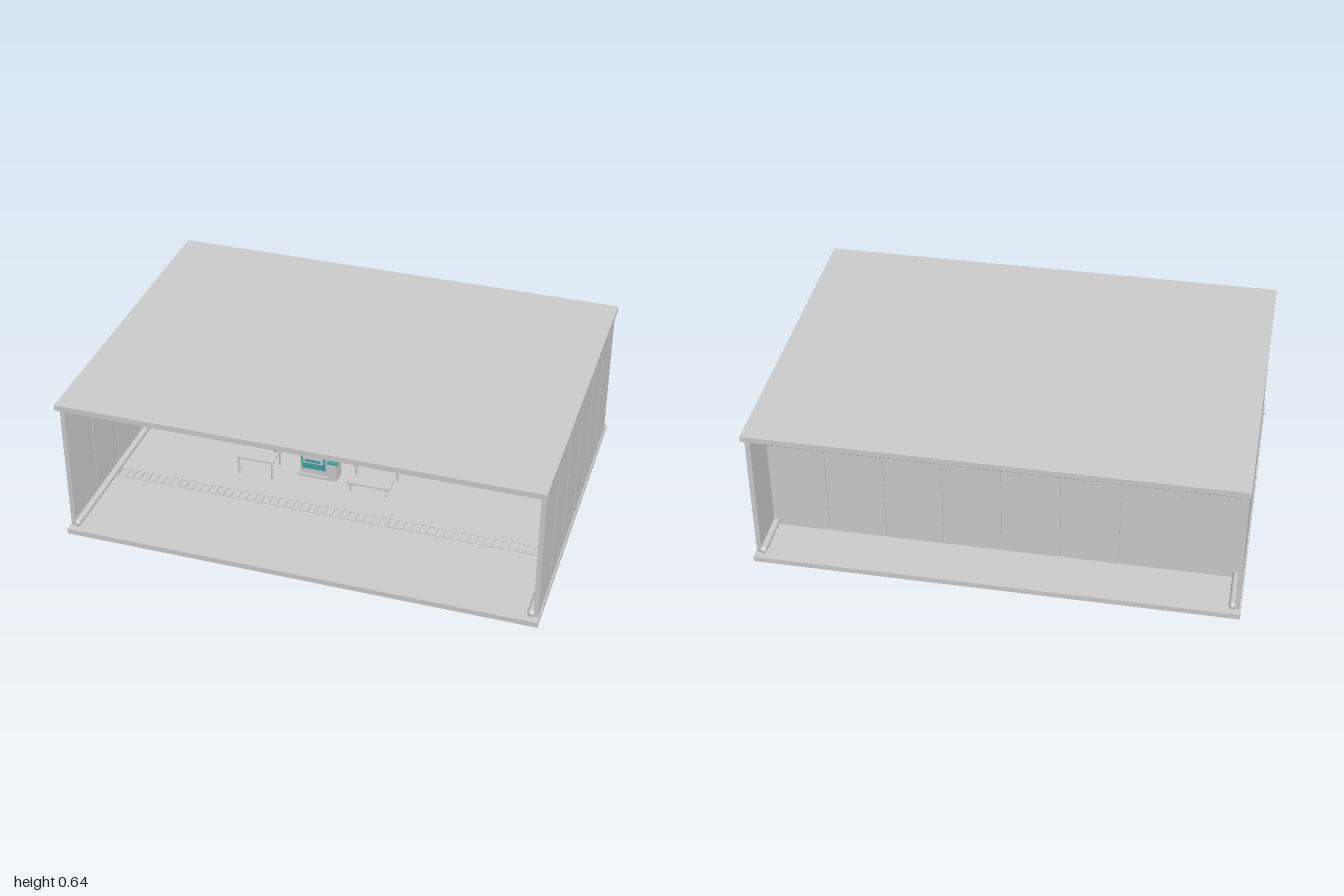
import * as THREE from 'three';
import { RoundedBoxGeometry } from 'three/addons/geometries/RoundedBoxGeometry.js';

const grey = new THREE.MeshStandardMaterial({ color: 0xcccccc });
const teal = new THREE.MeshStandardMaterial({ color: 0x3fa0a8 });

function add(parent, name, geometry, x, y, z, material = grey) {
  const mesh = new THREE.Mesh(geometry, material);
  mesh.name = name;
  mesh.position.set(x, y, z);
  parent.add(mesh);
  return mesh;
}

// Box given by its limits on each axis
function box(parent, name, x0, x1, y0, y1, z0, z1, material) {
  return add(parent, name, new THREE.BoxGeometry(x1 - x0, y1 - y0, z1 - z0),
    (x0 + x1) / 2, (y0 + y1) / 2, (z0 + z1) / 2, material);
}

// Round bar centred on a point, lying along the chosen axis
function bar(parent, name, axis, r, length, x, y, z, material) {
  const g = new THREE.CylinderGeometry(r, r, length, 16);
  if (axis === 'x') g.rotateZ(Math.PI / 2);
  if (axis === 'z') g.rotateX(Math.PI / 2);
  return add(parent, name, g, x, y, z, material);
}

function group(parent, name) {
  const g = new THREE.Group();
  g.name = name;
  parent.add(g);
  return g;
}

const FLOOR = 0.024, WALL_TOP = 0.6;

// Wall along local x: separate panels with recessed joints
function panelWall(parent, name, length, count, thickness) {
  const wall = group(parent, name);
  const step = length / count, gap = 0.007, t = thickness / 2;
  for (let i = 0; i < count; i++) {
    const a = -length / 2 + i * step;
    box(wall, 'wallPanel', a + (i ? gap / 2 : 0), a + step - (i < count - 1 ? gap / 2 : 0),
      FLOOR, WALL_TOP, -t, t);
    if (i) box(wall, 'panelJoint', a - gap / 2, a + gap / 2, FLOOR, WALL_TOP, -t * 0.5, t * 0.5);
  }
  return wall;
}

function shell(root) {
  box(root, 'floor', -1, 1, 0, FLOOR, -0.72, 0.72);
  box(root, 'roof', -1, 1, 0.618, 0.642, -0.72, 0.72);
  for (const s of [-1, 1]) {
    const wall = panelWall(root, s > 0 ? 'leftWall' : 'rightWall', 1.376, 6, 0.02);
    wall.rotation.y = Math.PI / 2;
    wall.position.x = s * 0.984;
    // Rounded wheel guard along the foot of the side wall
    const guard = new THREE.CapsuleGeometry(0.016, 1.37, 6, 14).rotateX(Math.PI / 2);
    add(root, 'sideGuard', guard, s * 0.966, 0.041, 0);
  }
  panelWall(root, 'rearPartition', 1.95, 8, 0.018).position.z = -0.49;
  box(root, 'skirting', -0.95, 0.95, FLOOR, 0.06, -0.482, -0.465);

  // Drain gratings: two side rails with cross slats
  for (const z of [0.28, -0.26]) {
    const grate = group(root, 'floorGrating');
    for (const s of [-1, 1])
      box(grate, 'gratingRail', -0.965, 0.965, FLOOR, 0.028, z + s * 0.027 - 0.003, z + s * 0.027 + 0.003);
    for (let i = 0; i < 56; i++) {
      const x = -0.955 + i * 1.91 / 55;
      box(grate, 'gratingSlat', x - 0.006, x + 0.006, FLOOR, 0.031, z - 0.025, z + 0.025);
    }
  }

  // Rail under the rear edge of the roof with short cross arms
  bar(root, 'rearRail', 'x', 0.006, 1.94, 0, 0.594, -0.683);
  for (let i = -4; i <= 4; i++) {
    const x = i * 0.242;
    box(root, 'railArm', x - 0.006, x + 0.006, 0.594, 0.604, -0.69, -0.6);
  }

  // Overhead duct on hangers
  bar(root, 'overheadDuct', 'x', 0.031, 1.94, 0, 0.528, -0.42);
  for (const x of [-0.71, -0.18, 0.35, 0.82])
    box(root, 'ductHanger', x - 0.003, x + 0.003, 0.55, 0.618, -0.423, -0.417);
}

function washTable(root) {
  const t = group(root, 'washTable');
  const x0 = -0.465, x1 = -0.295, z0 = 0.01, z1 = 0.14;
  box(t, 'tableTop', x0, x1, 0.108, 0.116, z0, z1);
  box(t, 'basin', -0.43, -0.33, 0.094, 0.108, 0.035, 0.115);
  for (const x of [x0 + 0.01, x1 - 0.01])
    for (const z of [z0 + 0.012, z1 - 0.012])
      bar(t, 'tableLeg', 'y', 0.004, 0.084, x, 0.066, z);
  box(t, 'tableBrace', x0 + 0.01, x1 - 0.01, 0.07, 0.075, z0 + 0.01, z0 + 0.015);
  // Tap with a bent spout
  const tap = new THREE.CatmullRomCurve3([
    [0, 0.116, 0.022], [0, 0.165, 0.022], [0, 0.18, 0.035], [0, 0.172, 0.055], [0, 0.16, 0.058],
  ].map(([x, y, z]) => new THREE.Vector3(x, y, z)));
  add(t, 'tap', new THREE.TubeGeometry(tap, 24, 0.005, 10), -0.38, 0, 0);
  bar(t, 'bottle', 'y', 0.007, 0.026, -0.314, 0.129, 0.05, teal);
  bar(t, 'bottleCap', 'y', 0.004, 0.01, -0.314, 0.147, 0.05);
}

function dispenser(root) {
  const m = group(root, 'dispenser');
  box(m, 'plinth', -0.206, -0.068, FLOOR, 0.036, -0.05, 0.07);
  box(m, 'cabinet', -0.199, -0.075, 0.036, 0.253, -0.04, 0.06);
  box(m, 'frontPanel', -0.19, -0.084, 0.065, 0.242, 0.06, 0.064, teal);
  box(m, 'display', -0.178, -0.097, 0.182, 0.232, 0.064, 0.068);
  box(m, 'tray', -0.182, -0.092, 0.1, 0.13, 0.064, 0.072);
  box(m, 'traySlot', -0.172, -0.102, 0.107, 0.119, 0.072, 0.074, teal);
  for (let i = 0; i < 3; i++)
    bar(m, 'button', 'z', 0.005, 0.006, -0.16 + i * 0.022, 0.155, 0.066);
  // Bin beside the cabinet
  const b = group(root, 'bin');
  box(b, 'binBody', -0.07, -0.03, FLOOR, 0.112, 0.01, 0.07);
  box(b, 'binLid', -0.073, -0.027, 0.112, 0.12, 0.007, 0.073, teal);
}

function dryingRack(root) {
  const r = group(root, 'hangingRack');
  const z = -0.015;
  for (const x of [0.032, 0.218])
    box(r, 'rackPost', x - 0.004, x + 0.004, FLOOR, 0.196, z - 0.004, z + 0.004);
  box(r, 'rackTop', 0.02, 0.228, 0.193, 0.201, z - 0.012, z + 0.012);
  box(r, 'rackLowerBar', 0.032, 0.218, 0.074, 0.079, z - 0.003, z + 0.003);
  for (let i = 0; i < 3; i++) {
    const x = 0.066 + i * 0.059;
    add(r, 'hangingBag', new RoundedBoxGeometry(0.042, 0.094, 0.014, 4, 0.0065), x, 0.13, z);
    bar(r, 'bagHook', 'y', 0.003, 0.022, x, 0.185, z);
    add(r, 'bagNeck', new THREE.CylinderGeometry(0.006, 0.012, 0.008, 12), x, 0.178, z);
  }
  // Low bench in front
  const b = group(root, 'bench');
  box(b, 'benchSeat', 0.028, 0.222, 0.064, 0.073, 0.055, 0.12);
  for (const x of [0.045, 0.205])
    for (const zz of [0.066, 0.109])
      bar(b, 'benchLeg', 'y', 0.004, 0.042, x, 0.044, zz);
}

export function createModel() {
  const root = new THREE.Group();
  root.name = 'washBay';
  shell(root);
  washTable(root);
  dispenser(root);
  dryingRack(root);
  return root;
}
